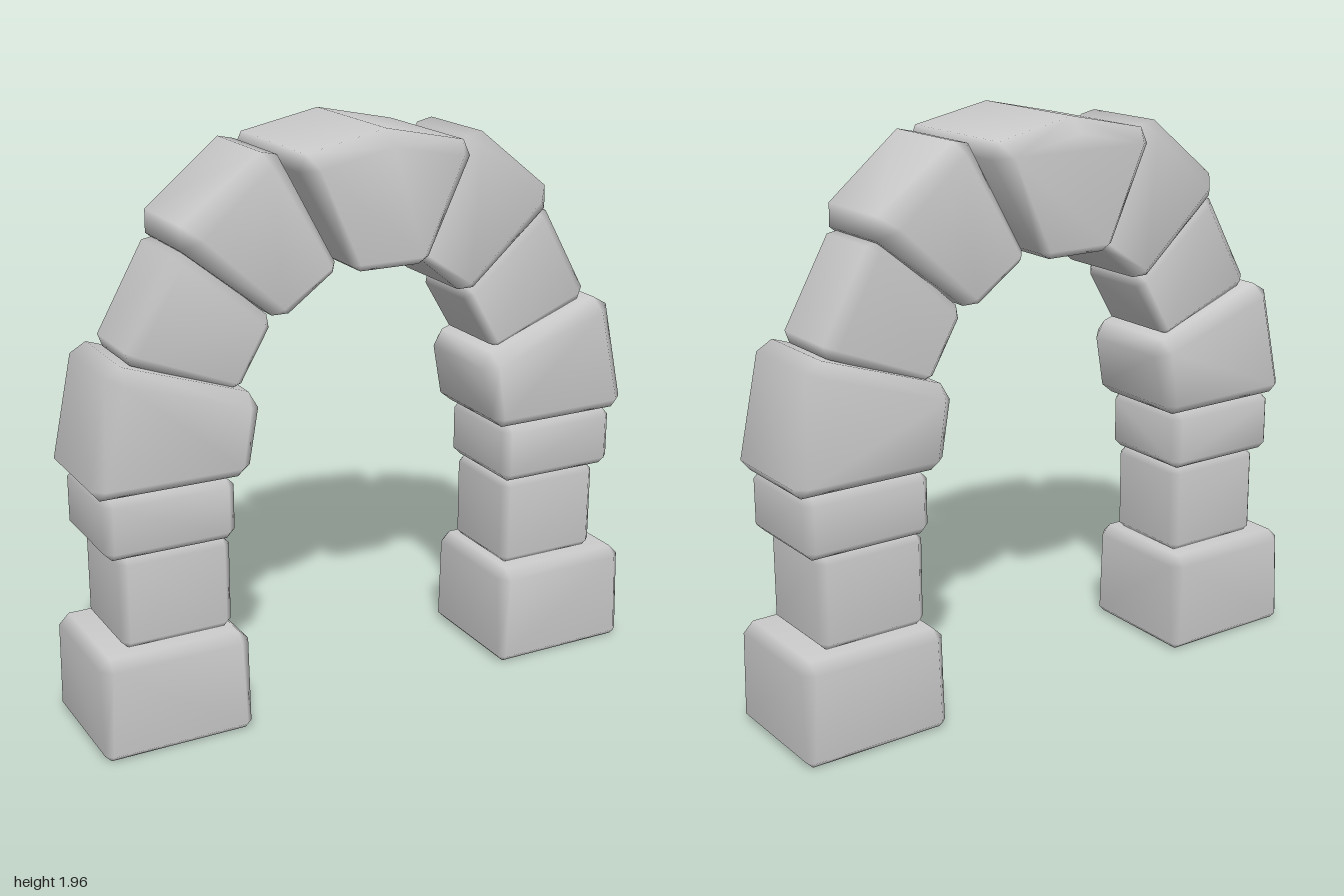
import * as THREE from 'three';
import { ConvexGeometry } from 'three/addons/geometries/ConvexGeometry.js';
import { mergeVertices } from 'three/addons/utils/BufferGeometryUtils.js';

const stone = new THREE.MeshStandardMaterial({ color: 0xcccccc });

// Chamfered stone: a front outline of [x, y, chamfer] corners, extruded to +-halfDepth in z
function stoneBlock(name, outline, halfDepth, side = 1) {
  const points = [];
  outline.forEach(([x, y, c], i) => {
    const n = outline.length;
    const p = new THREE.Vector2(x, y);
    const toCorner = ([a, b]) => new THREE.Vector2(a, b).sub(p).normalize();
    const u = toCorner(outline[(i + n - 1) % n]);
    const v = toCorner(outline[(i + 1) % n]);
    // a nearly straight corner is a crease, so it is not cut
    const cut = u.dot(v) < -0.85 ? 0 : c;
    const inset = u.clone().add(v).multiplyScalar(c / Math.abs(u.cross(v)));
    const add = (offset, z) => points.push(
      new THREE.Vector3(side * (x + offset.x), y + offset.y, z),
      new THREE.Vector3(side * (x + offset.x), y + offset.y, -z));
    add(u.clone().multiplyScalar(cut), halfDepth - c);
    if (cut) add(v.clone().multiplyScalar(cut), halfDepth - c);
    add(inset, halfDepth);
  });
  let geometry = new ConvexGeometry(points);
  geometry.deleteAttribute('normal');
  geometry = mergeVertices(geometry, 1e-4);
  geometry.computeVertexNormals();
  const mesh = new THREE.Mesh(geometry, stone);
  mesh.name = name;
  return mesh;
}

// Upright rectangular outline with its own chamfers at bottom and top
const rect = (x0, x1, y0, y1, cBottom, cTop) =>
  [[x0, y0, cBottom], [x1, y0, cBottom], [x1, y1, cTop], [x0, y1, cTop]];

export function createModel() {
  const arch = new THREE.Group();
  arch.name = 'stoneArch';

  // One half of the arch, from the ground up: name, outline, half depth
  const half = [
    ['baseStone', rect(0.485, 1, 0, 0.352, 0.022, 0.035), 0.228],
    ['lowerPierStone', rect(0.522, 0.905, 0.352, 0.67, 0.025, 0.025), 0.165],
    ['upperPierStone', rect(0.508, 0.955, 0.67, 0.88, 0.028, 0.028), 0.185],
    ['springerStone', [[0.463, 0.88, 0.035], [1, 0.88, 0.038], [0.915, 1.31, 0.048], [0.409, 1.14, 0.045]], 0.205],
    ['lowerArchStone', [[0.475, 1.153, 0.025], [0.86, 1.295, 0.035], [0.665, 1.642, 0.035], [0.345, 1.368, 0.03]], 0.155],
    ['upperArchStone', [[0.34, 1.369, 0.038], [0.708, 1.665, 0.062], [0.36, 1.936, 0.045], [0.145, 1.525, 0.022]], 0.205],
  ];
  for (const [prefix, side] of [['left', 1], ['right', -1]]) {
    const group = new THREE.Group();
    group.name = prefix + 'Half';
    for (const [name, outline, depth] of half) group.add(stoneBlock(name, outline, depth, side));
    arch.add(group);
  }

  // Keystone with a creased crown
  arch.add(stoneBlock('keystone', [
    [-0.13, 1.524, 0.025], [0.13, 1.524, 0.025],
    [0.328, 1.893, 0.05], [0, 1.96, 0.05], [-0.328, 1.893, 0.05],
  ], 0.285));
  return arch;
}
